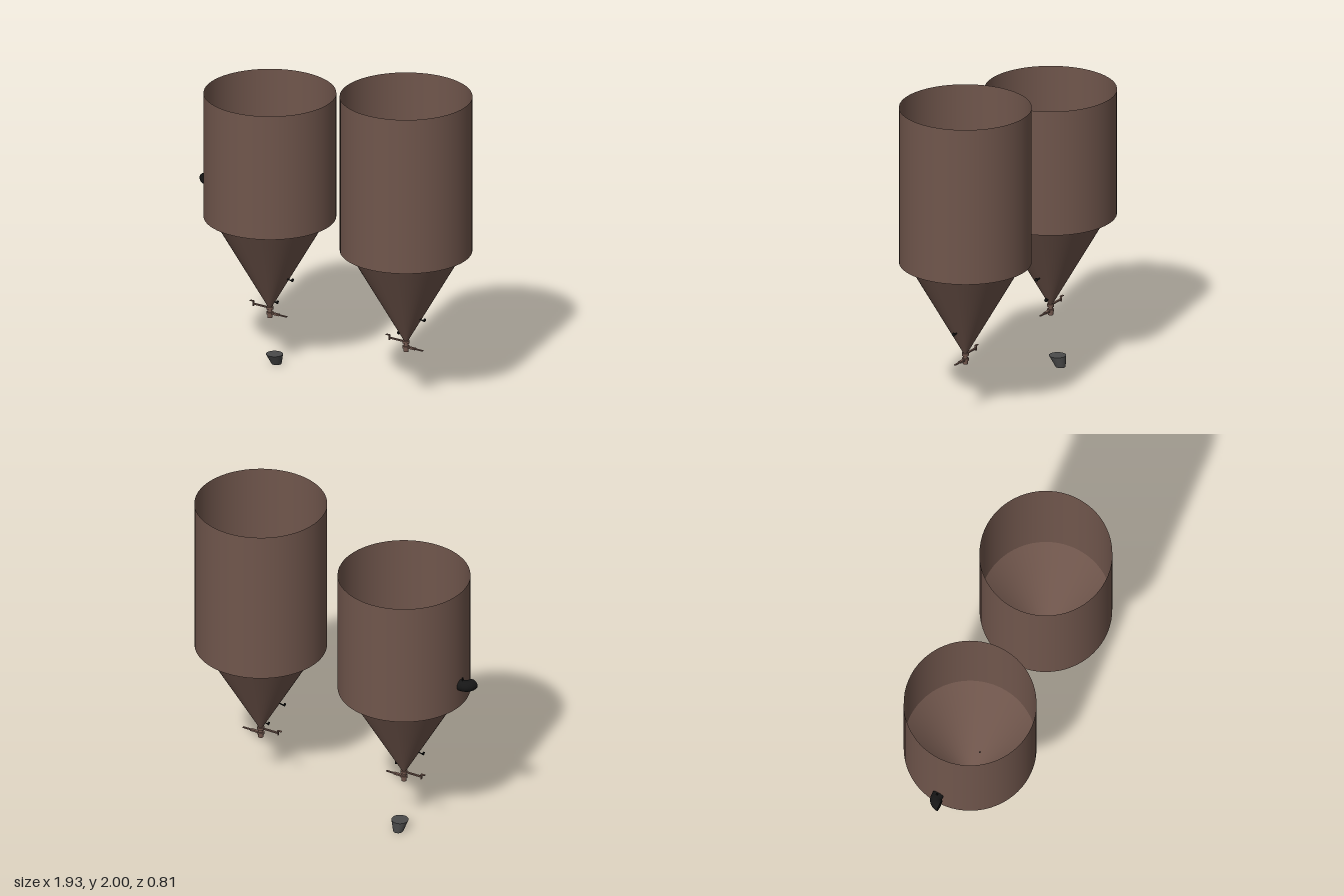
import * as THREE from 'three';

const mat = (color, side = THREE.DoubleSide) => new THREE.MeshStandardMaterial({ color, side });
const brown = mat(0x70564c);
const black = mat(0x161616);
const grey = mat(0x4a4a4a);

function add(parent, name, geometry, material, x = 0, y = 0, z = 0) {
  const mesh = new THREE.Mesh(geometry, material);
  mesh.name = name;
  mesh.position.set(x, y, z);
  parent.add(mesh);
  return mesh;
}

const RADIUS = 0.407, SKIRT = 0.99, TIP = 0.4, SLOPE = 0.572;
const coneRadius = (y) => 0.015 + (y - TIP) * SLOPE;

// Small thin handle sticking out of the cone; side is +1 or -1 along x
function lug(parent, name, y, side, length) {
  const g = new THREE.Group();
  g.name = name;
  g.position.set(side * coneRadius(y), y, 0);
  g.scale.x = side;
  const rod = add(g, 'lugRod', new THREE.CylinderGeometry(0.004, 0.004, length, 10), black, length * 0.4, 0, 0);
  rod.rotation.z = Math.PI / 2 - 0.15;
  const knob = add(g, 'lugCap', new THREE.CylinderGeometry(0.011, 0.011, 0.007, 12), black, length * 0.85, 0.004, 0);
  knob.rotation.z = Math.PI / 2 - 0.15;
  parent.add(g);
}

// Stacked flanges with a long lever and a clamp arm
function valve() {
  const g = new THREE.Group();
  g.name = 'valve';
  const profile = [
    [0, 0.325], [0.016, 0.325], [0.016, 0.348], [0.022, 0.348], [0.022, 0.362],
    [0.014, 0.362], [0.014, 0.38], [0.022, 0.38], [0.022, 0.396], [0.013, 0.396], [0.013, 0.408], [0.019, 0.408],
  ];
  // each straight run is its own lathe so that the edges stay sharp
  for (let i = 1; i < profile.length; i++) {
    const run = [profile[i - 1], profile[i]].map(([r, y]) => new THREE.Vector2(r, y));
    add(g, 'valveBody', new THREE.LatheGeometry(run, 24), brown);
  }
  add(g, 'lowerLever', new THREE.BoxGeometry(0.06, 0.011, 0.018), brown, 0.04, 0.355, 0);
  add(g, 'lowerLeverGrip', new THREE.BoxGeometry(0.065, 0.006, 0.012), brown, 0.093, 0.355, 0);
  add(g, 'upperArm', new THREE.BoxGeometry(0.11, 0.008, 0.012), brown, -0.07, 0.388, 0);
  add(g, 'upperArmPost', new THREE.BoxGeometry(0.005, 0.034, 0.014), brown, -0.124, 0.39, 0);
  add(g, 'upperArmTip', new THREE.BoxGeometry(0.028, 0.004, 0.014), brown, -0.134, 0.405, 0);
  return g;
}

// Open tank with a cone that meets the wall inside the skirt
function silo(name, x, top, side) {
  const g = new THREE.Group();
  g.name = name;
  g.position.x = x;
  const h = top - SKIRT;
  add(g, 'tankWall', new THREE.CylinderGeometry(RADIUS, RADIUS, h, 64, 1, true), brown, 0, SKIRT + h / 2, 0);
  const coneTop = TIP + (RADIUS - 0.015) / SLOPE, seam = 0.9;
  for (const [part, a, b] of [['lowerCone', TIP, seam], ['upperCone', seam, coneTop]]) {
    add(g, part, new THREE.CylinderGeometry(coneRadius(b), coneRadius(a), b - a, 64, 1, true), brown, 0, (a + b) / 2, 0);
  }
  lug(g, 'lowLug', 0.555, -side, 0.04);
  lug(g, 'highLug', 0.602, side, 0.045);
  lug(g, 'tipLug', 0.432, side, 0.026);
  g.add(valve());
  return g;
}

export function createModel() {
  const model = new THREE.Group();
  model.name = 'siloPair';
  model.add(silo('shortSilo', -0.462, 1.8, 1));
  model.add(silo('tallSilo', 0.555, 2, -1));

  // Elbow outlet on the short silo, bending from the wall to the front
  const elbow = new THREE.Group();
  elbow.name = 'elbowOutlet';
  elbow.position.set(-0.887, 1.142, 0.031);
  const R = 0.043, r = 0.036;
  const bend = new THREE.TorusGeometry(R, r, 20, 16, Math.PI / 2);
  bend.rotateZ(Math.PI / 2).rotateX(-Math.PI / 2);
  add(elbow, 'elbowBend', bend, black);
  const stub = new THREE.CylinderGeometry(r, r, 0.035, 20, 1, true).rotateZ(Math.PI / 2);
  add(elbow, 'elbowStub', stub, black, 0.0175, 0, -R);
  add(elbow, 'elbowMouth', new THREE.CircleGeometry(r, 20), black, -R, 0, -0.004);
  add(elbow, 'elbowClip', new THREE.BoxGeometry(0.006, 0.02, 0.01), black, 0.002, 0.045, -R);
  model.add(elbow);

  // Slanted bucket under the short silo: straight at the back, sloped at the front
  const bucket = new THREE.CylinderGeometry(0.053, 0.031, 0.07, 32);
  const p = bucket.attributes.position;
  for (let i = 0; i < p.count; i++) {
    if (p.getY(i) < 0) p.setZ(i, p.getZ(i) - 0.022);
  }
  bucket.computeVertexNormals();
  add(model, 'bucket', bucket, grey, -0.462, 0.035, -0.049);
  return model;
}
